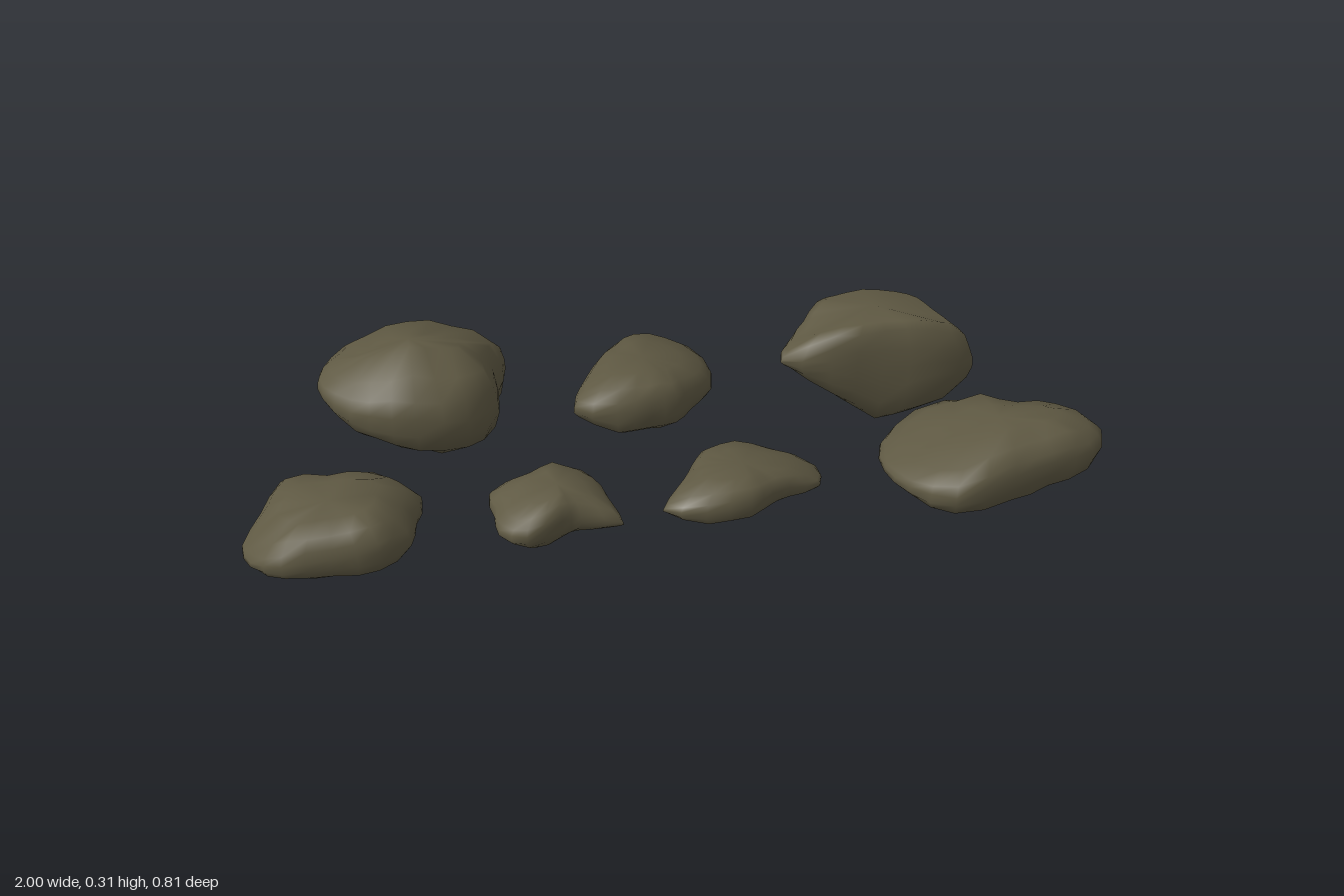
import * as THREE from 'three';

const stone = new THREE.MeshStandardMaterial({ color: 0x5f5943 });
stone.name = 'mossy stone';

// Rings from underside to crown: [share of plan outline, share of height]
const rings = [[0.45, 0.01], [0.75, 0.08], [0.94, 0.24], [1, 0.42], [0.99, 0.6], [0.95, 0.76], [0.8, 0.92], [0.48, 0.99]];
const sides = 24;

function seeded(seed) {
  return () => (seed = (seed * 16807) % 2147483647) / 2147483647 - 0.5;
}

// Plan outline: an ellipse pushed in or out at even angles, from left by way of the back, then rounded
function planOutline([cx, cz], [hx, hz], radii) {
  const corners = radii.map((r, i) => {
    const angle = (i / radii.length) * Math.PI * 2;
    return new THREE.Vector3(cx - Math.cos(angle) * r * hx, 0, cz - Math.sin(angle) * r * hz);
  });
  const curve = new THREE.CatmullRomCurve3(corners, true);
  return Array.from({ length: sides }, (_, i) => curve.getPoint(i / sides));
}

// Blend between evenly spaced heights, t from 0 to 1
function heightAt(heights, t) {
  const place = THREE.MathUtils.clamp(t, 0, 1) * (heights.length - 1);
  const i = Math.min(Math.floor(place), heights.length - 2);
  return THREE.MathUtils.lerp(heights[i], heights[i + 1], place - i);
}

// centre, half size and radii give the plan; top and bottom give the heights from -x to +x.
// round is how gently the flanks curve in along x and z; tilt raises the top towards +z.
function makeRock(name, { centre, half, radii, top, bottom, round = [0.85, 1], tilt = 0, seed }) {
  const rand = seeded(seed);
  const plan = planOutline(centre, half, radii);
  const [cx, cz] = centre;
  const positions = [], index = [];
  const add = (x, z, f) => {
    const t = (x - cx) / half[0] / 2 + 0.5;
    const y = THREE.MathUtils.lerp(heightAt(bottom, t), heightAt(top, t), f);
    positions.push(x, y + tilt * (z - cz) * f, z);
  };

  // Stacked outlines, slightly dented on the flanks
  for (const [share, f] of rings) {
    for (const p of plan) {
      const wobble = share < 0.98 ? 1 + rand() * 0.04 : 1;
      const [sx, sz] = round.map((r) => (1 - (1 - share) * r) * wobble);
      const dent = f > 0.05 && f < 0.95 ? rand() * 0.06 : 0;
      add(cx + (p.x - cx) * sx, cz + (p.z - cz) * sz, f + dent);
    }
  }
  const under = sides * rings.length, crown = under + 1;
  add(cx, cz, 0);
  add(cx, cz, 1);

  // Flanks and the two caps
  const last = (rings.length - 1) * sides;
  for (let i = 0; i < sides; i++) {
    const k = (i + 1) % sides;
    for (let row = 0; row < last; row += sides) {
      const a = row + i, b = row + k;
      index.push(b, a, a + sides, b, a + sides, b + sides);
    }
    index.push(under, i, k, crown, last + k, last + i);
  }
  const geometry = new THREE.BufferGeometry();
  geometry.setAttribute('position', new THREE.Float32BufferAttribute(positions, 3));
  geometry.setIndex(index);
  geometry.computeVertexNormals();
  const mesh = new THREE.Mesh(geometry, stone);
  mesh.name = name;
  return mesh;
}

export function createModel() {
  const group = new THREE.Group();
  group.name = 'rocks';

  // Back row
  group.add(makeRock('backLeftRock', {
    centre: [-0.59, -0.23], half: [0.23, 0.18], seed: 101, round: [0.8, 1.6],
    radii: [0.99, 1, 1.03, 0.9, 1.1, 1.17, 0.88, 1, 1.07, 1, 0.96, 0.96],
    top: [0.25, 0.28, 0.315, 0.29, 0.24], bottom: [0.16, 0.08, 0.04, 0.02, 0.05],
  }));
  group.add(makeRock('backMiddleRock', {
    centre: [-0.035, -0.168], half: [0.185, 0.187], seed: 1078, tilt: 0.05,
    radii: [0.78, 0.65, 0.7, 0.91, 1.04, 1.1, 0.93, 0.72, 0.72, 0.73, 0.92, 1.15],
    top: [0.21, 0.24, 0.24, 0.215, 0.17], bottom: [0.14, 0.09, 0.08, 0.08, 0.09],
  }));
  group.add(makeRock('backRightRock', {
    centre: [0.555, -0.225], half: [0.245, 0.135], seed: 2055, round: [0.5, 0.5], tilt: 0.12,
    radii: [0.87, 0.78, 0.89, 0.97, 0.89, 0.81, 0.84, 1.17, 1.06, 0.91, 1.1, 1.18],
    top: [0.21, 0.285, 0.287, 0.28, 0.21], bottom: [0.18, 0.1, 0, 0.02, 0.05],
  }));

  // Front row
  group.add(makeRock('frontLeftRock', {
    centre: [-0.8, 0.228], half: [0.2, 0.143], seed: 3032,
    radii: [1, 0.93, 1.15, 0.95, 1.05, 1.18, 0.93, 0.99, 1.03, 0.95, 1.1, 1.04],
    top: [0.13, 0.21, 0.215, 0.22, 0.16], bottom: [0.09, 0.08, 0.07, 0.06, 0.08],
  }));
  group.add(makeRock('smallLeftRock', {
    centre: [-0.295, 0.232], half: [0.145, 0.117], seed: 4009,
    radii: [1, 1.2, 0.91, 0.97, 0.96, 0.88, 0.84, 1.12, 0.62, 0.7, 1.14, 1.12],
    top: [0.155, 0.185, 0.195, 0.17, 0.13], bottom: [0.09, 0.08, 0.08, 0.085, 0.09],
  }));
  group.add(makeRock('smallMiddleRock', {
    centre: [0.135, 0.217], half: [0.195, 0.123], seed: 4986,
    radii: [0.75, 0.69, 0.84, 0.97, 0.95, 1.14, 0.95, 0.62, 0.6, 0.85, 1.09, 1.18],
    top: [0.15, 0.19, 0.185, 0.16, 0.11], bottom: [0.11, 0.08, 0.08, 0.085, 0.075],
  }));
  group.add(makeRock('frontRightRock', {
    centre: [0.735, 0.225], half: [0.265, 0.185], seed: 5963, round: [0.8, 1.2], tilt: 0.12,
    radii: [1, 1.08, 1.11, 0.9, 0.7, 0.86, 0.99, 0.91, 0.75, 0.8, 1.14, 1.02],
    top: [0.15, 0.21, 0.245, 0.245, 0.21], bottom: [0.1, 0.08, 0.062, 0.07, 0.115],
  }));
  return group;
}
